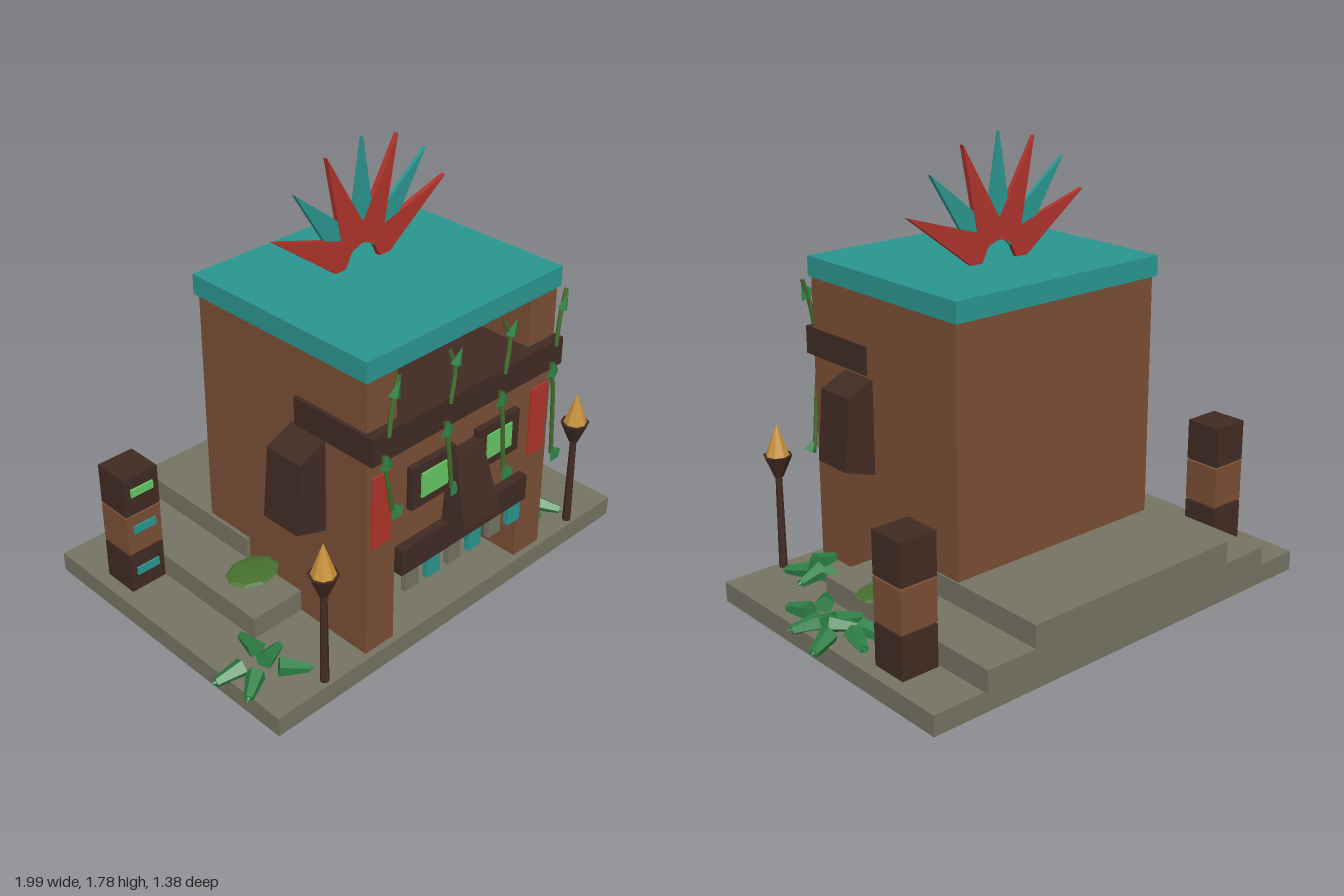
import * as THREE from 'three';

const mat = (name, color) => {
  const m = new THREE.MeshStandardMaterial({ color });
  m.name = name;
  return m;
};

export function createModel() {
  const root = new THREE.Group();
  root.name = 'carvedFaceHut';
  const stone = mat('stone', 0x757362), wood = mat('wood', 0x7a4f35), dark = mat('darkWood', 0x412b23);
  const teal = mat('teal', 0x2b968f), red = mat('red', 0xb0342c), orange = mat('orange', 0xc8722b);
  const glow = mat('glowGreen', 0x66c765), gold = mat('gold', 0xc8923a);
  const leafGreen = mat('leaf', 0x2e8045), moss = mat('moss', 0x47702f);

  const add = (name, geo, material, parent = root) => {
    const m = new THREE.Mesh(geo, material);
    m.name = name;
    parent.add(m);
    return m;
  };
  // box given by its limits on each axis
  const box = (name, material, [x0, x1], [y0, y1], [z0, z1], parent = root) => {
    const m = add(name, new THREE.BoxGeometry(x1 - x0, y1 - y0, z1 - z0), material, parent);
    m.position.set((x0 + x1) / 2, (y0 + y1) / 2, (z0 + z1) / 2);
    return m;
  };
  const flat = (geo) => {
    const g = geo.index ? geo.toNonIndexed() : geo;
    g.computeVertexNormals();
    return g;
  };
  const group = (name) => {
    const g = new THREE.Group();
    g.name = name;
    root.add(g);
    return g;
  };
  const cx = -0.02; // centre line of the building

  // stone base and rear steps
  box('base', stone, [-0.94, 0.9], [0, 0.08], [-0.67, 0.6]);
  box('lowerStep', stone, [-0.73, 0.685], [0.08, 0.17], [-0.69, 0.235]);
  box('upperStep', stone, [-0.515, 0.472], [0.17, 0.26], [-0.69, -0.05]);

  // building: rear block, front pillars, face wall, open mouth and balcony
  box('rearBlock', wood, [-0.5, 0.465], [0.08, 1.22], [-0.275, 0.24]);
  box('rightPillar', wood, [-0.5, -0.36], [0.08, 1.22], [0.24, 0.575]);
  box('leftPillar', wood, [0.32, 0.465], [0.08, 1.22], [0.24, 0.575]);
  box('faceWall', wood, [-0.36, 0.32], [0.38, 0.95], [0.24, 0.575]);
  box('doorwayGlow', orange, [-0.36, 0.32], [0.08, 0.38], [0.24, 0.246]);
  box('browBeam', dark, [-0.515, 0.472], [0.91, 1.02], [0.235, 0.615]);
  box('roof', teal, [-0.515, 0.472], [1.22, 1.3], [-0.287, 0.587]);

  // ears
  for (const s of [-1, 1]) {
    const pts = [[0.47, 0.905], [0.47, 0.52], [0.62, 0.57], [0.595, 0.85]];
    const shape = new THREE.Shape(pts.map(([x, y]) => new THREE.Vector2(s * x, y)));
    const ear = add(s < 0 ? 'rightEar' : 'leftEar',
      new THREE.ExtrudeGeometry(shape, { depth: 0.17, bevelEnabled: false }), dark);
    ear.position.set(cx, 0, 0.205);
  }

  // eyes and cheek paint
  for (const s of [-1, 1]) {
    const ex = cx + s * 0.172, px = cx + s * 0.415;
    box('eyeFrame', dark, [ex - 0.112, ex + 0.112], [0.622, 0.797], [0.57, 0.6]);
    box('eye', glow, [ex - 0.067, ex + 0.067], [0.66, 0.76], [0.6, 0.607]);
    box('cheekPaint', red, [px - 0.045, px + 0.045], [0.54, 0.83], [0.575, 0.583]);
  }

  // nose: a block that widens and leans out towards the bottom
  const noseGeo = new THREE.BoxGeometry(1, 1, 1);
  const p = noseGeo.attributes.position;
  for (let i = 0; i < p.count; i++) {
    const top = p.getY(i) > 0, front = p.getZ(i) > 0;
    p.setXYZ(i, cx + Math.sign(p.getX(i)) * (top ? 0.068 : 0.098), top ? 0.765 : 0.485,
      front ? (top ? 0.61 : 0.685) : 0.57);
  }
  add('nose', flat(noseGeo), dark);

  // upper lip and teeth
  box('upperLip', dark, [-0.36, 0.317], [0.375, 0.485], [0.5, 0.613]);
  for (let i = 0; i < 6; i++) {
    const x = -0.3 + i * 0.112;
    box('tooth', i % 2 ? teal : stone, [x - 0.034, x + 0.034], [0.29, 0.376], [0.585, 0.608]);
  }

  // feather fan on the roof
  const fan = group('featherFan');
  for (let i = -3; i <= 3; i++) {
    const tealOne = i % 2 === 0;
    const tri = new THREE.Shape([[-0.07, 0.075], [0.07, 0.075], [0, 0.477]].map((q) => new THREE.Vector2(...q)));
    const depth = tealOne ? 0.016 : 0.02;
    const f = add('feather', new THREE.ExtrudeGeometry(tri, { depth, bevelEnabled: false }), tealOne ? teal : red, fan);
    f.position.set(cx, 1.3, 0.06 - depth / 2 + i * 0.0002);
    f.rotation.z = -i * THREE.MathUtils.degToRad(21);
  }

  // totem posts with carved faces
  for (const s of [-1, 1]) {
    const x = cx + s * 0.79, t = group(s < 0 ? 'rightTotem' : 'leftTotem');
    [[dark, teal, 0.15], [wood, teal, 0.34], [dark, glow, 0.505]].forEach(([body, mark, my], i) => {
      const y = 0.08 + i * 0.172;
      box('totemBlock', body, [x - 0.077, x + 0.077], [y, y + 0.165], [-0.44, -0.287], t);
      box('totemMark', mark, [x - 0.05, x + 0.05], [my, my + 0.033], [-0.287, -0.279], t);
    });
  }

  // torches
  for (const s of [-1, 1]) {
    const t = group(s < 0 ? 'rightTorch' : 'leftTorch');
    t.position.set(cx + s * 0.677, 0, 0.57);
    const part = (name, top, bottom, y0, y1, m) => {
      add(name, flat(new THREE.CylinderGeometry(top, bottom, y1 - y0, 8)), m, t).position.y = (y0 + y1) / 2;
    };
    part('torchPost', 0.013, 0.017, 0.08, 0.47, dark);
    part('torchBowl', 0.057, 0.018, 0.46, 0.55, dark);
    part('flame', 0, 0.046, 0.55, 0.68, gold);
  }

  // leaf blade: a flattened pyramid, wide end at the start, pointing along dir
  const leaf = (parent, pos, dir, length, width, thick) => {
    const m = add('leafBlade', flat(new THREE.CylinderGeometry(0.25, 0.5, 1, 5)), leafGreen, parent);
    m.scale.set(width, length, thick);
    m.position.set(...pos);
    m.quaternion.setFromUnitVectors(new THREE.Vector3(0, 1, 0), new THREE.Vector3(...dir).normalize());
  };

  // ground foliage: x, z, heading in degrees
  const foliage = group('groundFoliage');
  [[-0.93, 0.33, 170], [-0.91, 0.43, 215], [-0.77, 0.25, 80], [-0.75, 0.35, 20], [-0.74, 0.46, -40],
    [0.73, -0.12, 110], [0.81, -0.14, 75], [0.92, -0.07, 25], [0.88, 0.08, -20], [0.78, -0.01, 140],
    [0.8, 0.06, 200], [0.74, 0.02, 170], [0.83, 0.2, -75], [0.72, 0.19, 230], [0.65, 0.39, 10],
    [0.58, 0.31, 100], [0.52, 0.48, 190], [0.65, 0.47, -60]].forEach(([x, z, deg]) => {
    const a = THREE.MathUtils.degToRad(deg);
    const d = [Math.cos(a), -0.15, -Math.sin(a)];
    leaf(foliage, [x, 0.096, z], d, 0.11, 0.075, 0.075);
    const tip = add('leafTip', flat(new THREE.ConeGeometry(0.018, 0.04, 5)), leafGreen, foliage);
    tip.position.set(x + d[0] * 0.055, 0.09, z + d[2] * 0.055);
    tip.quaternion.setFromUnitVectors(new THREE.Vector3(0, 1, 0), new THREE.Vector3(...d).normalize());
  });

  // flat moss pads
  for (const [x, y, z] of [[-0.625, 0.258, 0.11], [0.607, 0.175, -0.015]]) {
    const pad = add('mossPad', flat(new THREE.SphereGeometry(1, 9, 6)), moss);
    pad.scale.set(0.11, 0.013, 0.085);
    pad.position.set(x, y, z);
  }

  // vines hanging from the beam and climbing to the roof
  const vines = group('vines');
  const stem = (pts) => {
    const curve = new THREE.CatmullRomCurve3(pts.map((q) => new THREE.Vector3(...q)));
    add('vineStem', new THREE.TubeGeometry(curve, 8, 0.009, 5), moss, vines);
  };
  const arrow = (x, y, z, tilt, turn) => {
    const m = add('vineLeaf', flat(new THREE.ConeGeometry(0.034, 0.065, 4)), leafGreen, vines);
    m.scale.z = 0.45;
    m.position.set(x, y, z);
    m.rotation.set(tilt, 0, turn);
  };
  [[-0.47, 0.69], [-0.17, 0.64], [0.115, 0.57], [0.4, 0.52]].forEach(([x, end], i) => {
    stem([[x, 0.95, 0.622], [x + 0.02, 0.83, 0.625], [x + 0.055, end, 0.615]]);
    arrow(x + 0.01, 0.92, 0.628, 0.2, 0.1);
    arrow(x + 0.06, end + 0.01, 0.62, 0, 0.5);
    const s = i === 0 || i === 3 ? 1 : -1;
    stem([[x + 0.03, 1.0, 0.617], [x + 0.06, 1.12, 0.605], [x + 0.06 + s * 0.03, 1.21, 0.6]]);
    arrow(x + 0.075, 1.165, 0.608, 0, -0.5);
  });

  return root;
}
